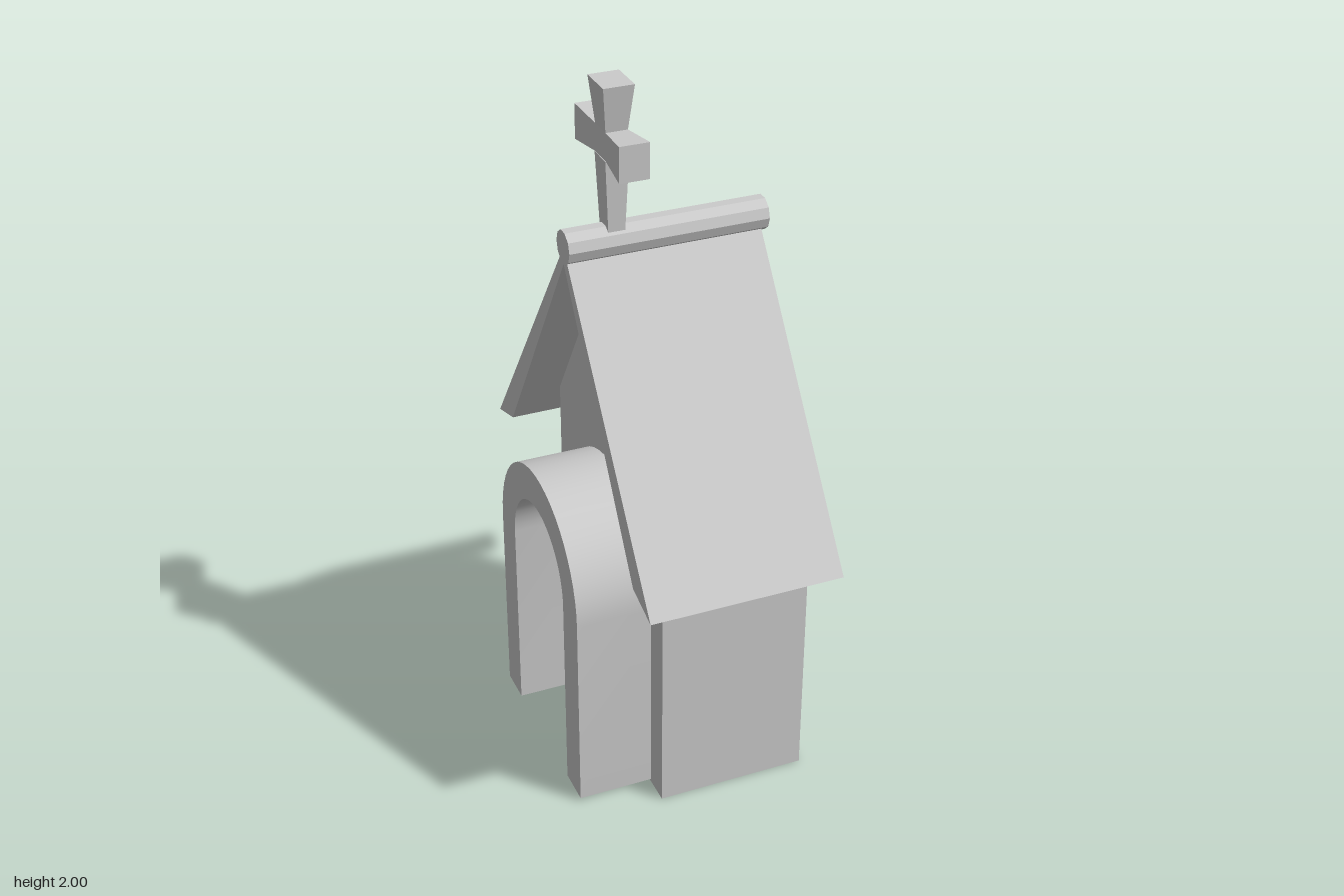
import * as THREE from 'three';
import { toCreasedNormals } from 'three/addons/utils/BufferGeometryUtils.js';

const flat = new THREE.MeshStandardMaterial({ color: 0xcccccc, flatShading: true });
const smooth = new THREE.MeshStandardMaterial({ color: 0xcccccc });

function add(parent, name, geometry, material = flat) {
  const mesh = new THREE.Mesh(geometry, material);
  mesh.name = name;
  parent.add(mesh);
  return mesh;
}

// Extrudes a symmetric z/y outline along x, from x0 to x1
function extrudeX(shape, x0, x1, curveSegments = 1) {
  const g = new THREE.ExtrudeGeometry(shape, { depth: x1 - x0, bevelEnabled: false, curveSegments });
  return g.rotateY(Math.PI / 2).translate(x0, 0, 0);
}

const outline = (points) => new THREE.Shape(points.map(([z, y]) => new THREE.Vector2(z, y)));

// Four-sided arm along +y; half sizes [x, z] at its bottom and top
function taperedArm(bottom, top, length) {
  const g = new THREE.BoxGeometry(2, length, 2).translate(0, length / 2, 0);
  const p = g.attributes.position;
  for (let i = 0; i < p.count; i++) {
    const [hx, hz] = p.getY(i) > length / 2 ? top : bottom;
    p.setX(i, p.getX(i) * hx);
    p.setZ(i, p.getZ(i) * hz);
  }
  return g;
}

function createCross() {
  const cross = new THREE.Group();
  cross.name = 'cross';
  cross.position.set(-0.098, 1.838, 0);
  add(cross, 'crossHub', new THREE.BoxGeometry(0.06, 0.076, 0.07));
  add(cross, 'crossTop', taperedArm([0.03, 0.035], [0.042, 0.053], 0.124)).position.y = 0.038;
  add(cross, 'crossShaft', taperedArm([0.022, 0.029], [0.032, 0.037], 0.23)).position.y = -0.268;
  for (const s of [-1, 1]) {
    const arm = add(cross, 'crossArm', taperedArm([0.03, 0.038], [0.041, 0.049], 0.117));
    arm.rotation.x = s * Math.PI / 2;
    arm.position.z = s * 0.035;
  }
  return cross;
}

export function createModel() {
  const model = new THREE.Group();
  model.name = 'chapel';

  // Walls with gable ends
  add(model, 'walls', extrudeX(outline([
    [-0.38, 0], [0.38, 0], [0.38, 0.93], [0, 1.52], [-0.38, 0.93],
  ]), -0.115, 0.312));

  // Roof, overhanging the doorway and both eaves
  add(model, 'roof', extrudeX(outline([
    [0, 1.567], [-0.58, 0.773], [-0.463, 0.808], [0, 1.52], [0.463, 0.808], [0.58, 0.773],
  ]), -0.233, 0.312));

  // Ridge pole
  const ridge = new THREE.CylinderGeometry(0.047, 0.047, 0.56, 10).rotateZ(Math.PI / 2);
  add(model, 'ridgePole', ridge).position.set(0.046, 1.567, 0);

  // Open arch around the doorway
  const arch = new THREE.Shape();
  arch.moveTo(-0.3, 0.008);
  arch.lineTo(-0.195, 0.008);
  arch.lineTo(-0.195, 0.6);
  arch.absarc(0, 0.6, 0.195, Math.PI, 0, true);
  arch.lineTo(0.195, 0.008);
  arch.lineTo(0.3, 0.008);
  arch.lineTo(0.3, 0.6);
  arch.absarc(0, 0.6, 0.3, 0, Math.PI, false);
  add(model, 'doorArch', toCreasedNormals(extrudeX(arch, -0.328, -0.115, 12), 0.6), smooth);

  model.add(createCross());
  return model;
}
